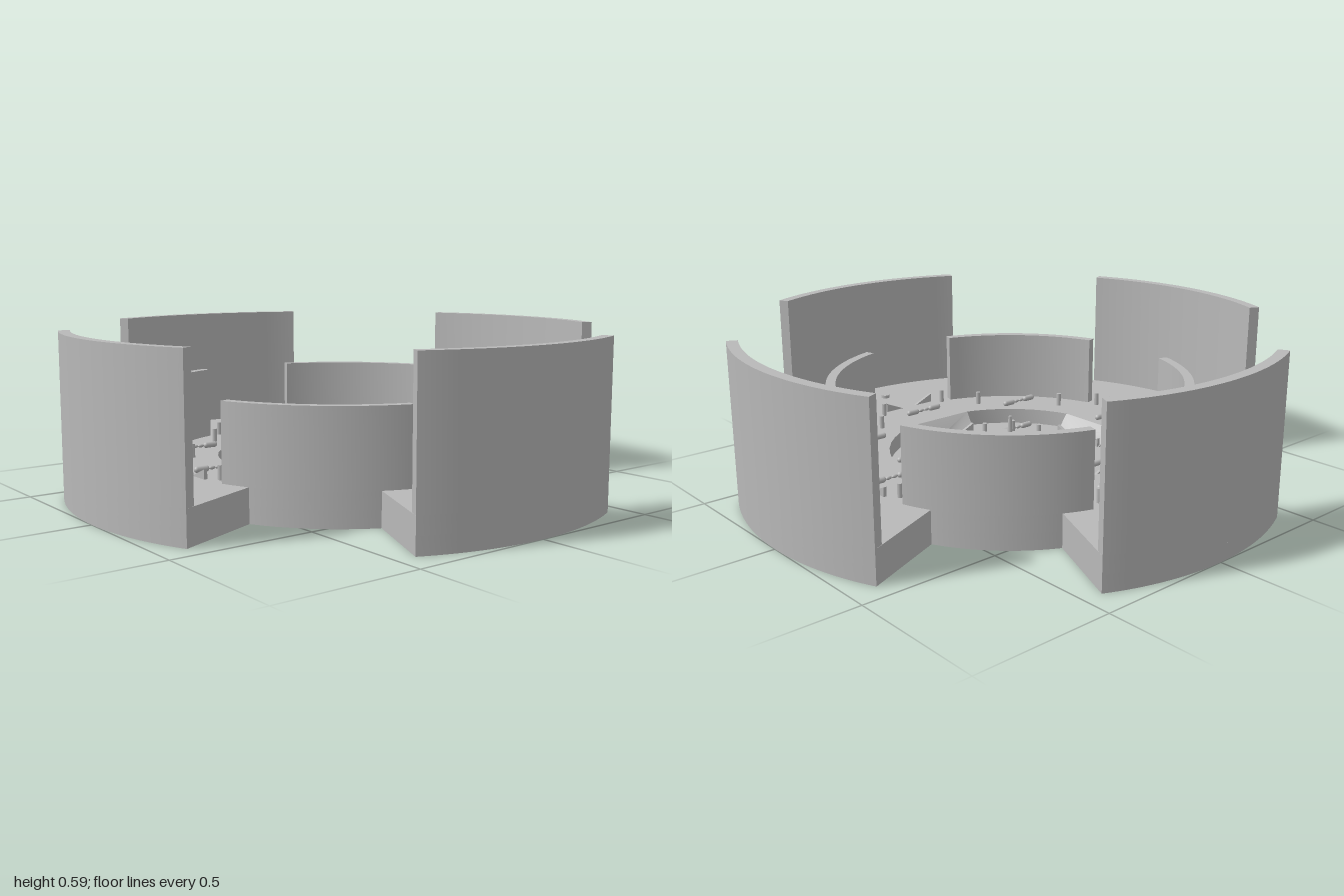
import * as THREE from 'three';
import { toCreasedNormals, mergeVertices } from 'three/addons/utils/BufferGeometryUtils.js';

const RAD = Math.PI / 180;
const FLOOR = 0.12, PIT = 0.06, TOP = 0.155; // main deck, sunken ring, central plinth

export function createModel() {
  const model = new THREE.Group();
  model.name = 'arena';
  const grey = new THREE.MeshStandardMaterial({ color: 0xb8b8b8 });
  grey.name = 'stoneGrey';

  function add(name, geometry, x = 0, y = 0, z = 0, turn = 0) {
    const mesh = new THREE.Mesh(geometry, grey);
    mesh.name = name;
    mesh.position.set(x, y, z);
    mesh.rotation.y = turn;
    model.add(mesh);
    return mesh;
  }

  // Extrude a plan shape upwards from y0 to y1
  function slab(shape, y0, y1, curveSegments = 16) {
    const g = new THREE.ExtrudeGeometry(shape, { depth: y1 - y0, bevelEnabled: false, curveSegments });
    g.rotateX(-Math.PI / 2).translate(0, y0, 0);
    return g;
  }
  const crease = (g) => toCreasedNormals(g, 30 * RAD);

  // Ring sector centred on +x, half angle in degrees
  function sector(r0, r1, half) {
    const s = new THREE.Shape();
    s.absarc(0, 0, r1, -half * RAD, half * RAD, false);
    s.absarc(0, 0, r0, half * RAD, -half * RAD, true);
    s.closePath();
    return s;
  }

  // Sector whose top slopes from height h0 at r0 to h1 at r1
  function ramp(r0, h0, r1, h1, half, base) {
    const g = slab(sector(r0, r1, half), base, base + 0.1, 8);
    const p = g.attributes.position;
    for (let i = 0; i < p.count; i++) {
      if (p.getY(i) < base + 0.05) continue;
      const t = (Math.hypot(p.getX(i), p.getZ(i)) - r0) / (r1 - r0);
      p.setY(i, h0 + (h1 - h0) * t);
    }
    return crease(g);
  }

  // Round deck with four flared arms
  function plan() {
    const s = new THREE.Shape();
    for (let k = 0; k < 4; k++) {
      const a = k * 90;
      s.absarc(0, 0, 1, (a - 25.5) * RAD, (a + 25.5) * RAD, false);
      s.absarc(0, 0, 0.67, (a + 26.6) * RAD, (a + 63.4) * RAD, false);
    }
    s.closePath();
    return s;
  }
  add('base', crease(slab(plan(), 0, PIT)));
  const deck = plan();
  const hole = new THREE.Path();
  hole.absarc(0, 0, 0.45, 0, Math.PI * 2, true);
  deck.holes.push(hole);
  add('deck', crease(slab(deck, PIT, FLOOR, 24)));

  // Stepped centre
  add('platform', new THREE.CylinderGeometry(0.195, 0.195, FLOOR - PIT, 48), 0, (FLOOR + PIT) / 2);
  add('plinth', new THREE.CylinderGeometry(0.065, 0.065, TOP - FLOOR, 32), 0, (TOP + FLOOR) / 2);
  add('centreSpike', new THREE.CylinderGeometry(0.006, 0.01, 0.08, 12), 0, TOP + 0.04);

  // Walls and ramps, four of each
  const outerWall = crease(slab(sector(0.96, 1, 25.5), FLOOR, 0.59, 24));
  const innerWall = crease(slab(sector(0.635, 0.67, 27.5), FLOOR, 0.39, 24));
  const pitRamp = ramp(0.375, PIT, 0.45, FLOOR, 18, PIT);
  const platformRamp = ramp(0.19, FLOOR, 0.285, PIT, 17.5, PIT);
  const plinthRamp = ramp(0.06, TOP, 0.1, FLOOR, 18, FLOOR);
  const disc = new THREE.CylinderGeometry(0.017, 0.017, 0.012, 20);
  const post = new THREE.CylinderGeometry(0.009, 0.009, 0.05, 12);

  // Upright triangular fin: tall at one end, tapering to a point
  const finShape = new THREE.Shape([
    new THREE.Vector2(0, 0), new THREE.Vector2(0.078, 0), new THREE.Vector2(0.078, 0.034),
  ]);
  const fin = new THREE.ExtrudeGeometry(finShape, { depth: 0.012, bevelEnabled: false });
  fin.translate(0.034, 0, -0.006);
  const finMirror = fin.clone().rotateY(Math.PI);

  for (let k = 0; k < 4; k++) {
    const a = k * Math.PI / 2, d = a + Math.PI / 4;
    add('outerWall', outerWall, 0, 0, 0, a);
    add('innerWall', innerWall, 0, 0, 0, d);
    add('pitRamp', pitRamp, 0, 0, 0, a);
    add('platformRamp', platformRamp, 0, 0, 0, d);
    add('plinthRamp', plinthRamp, 0, 0, 0, a);
    const c = Math.cos(a), s = Math.sin(a);
    add('armMarker', disc, 0.815 * c, FLOOR + 0.006, 0.815 * s);
    for (const g of [fin, finMirror]) {
      add('gateFin', g, 0.645 * s, FLOOR, 0.645 * c, a);
      add('rampFin', g, 0.36 * s, PIT, 0.36 * c, a);
    }
    // Posts around the deck and on the platform
    for (const [u, v] of [[0.61, 0.147], [0.61, -0.147], [0.485, 0.245], [0.485, -0.245], [0.147, 0], [0.104, 0.104]]) {
      add('post', post, u * c - v * s, FLOOR + 0.025, u * s + v * c);
    }
  }

  // Low barriers: two rounded blocks joined by small beads, all running along z
  const block = new THREE.CapsuleGeometry(0.011, 0.036, 4, 12).rotateX(Math.PI / 2);
  const bead = new THREE.SphereGeometry(0.008, 10, 8).scale(0.8, 0.8, 1.6);
  function barrier(x, y, z) {
    const g = new THREE.Group();
    g.name = 'barrier';
    for (const side of [-1, 1]) {
      for (const [name, geo, off] of [['barrierBlock', block, 0.054], ['barrierBead', bead, 0.0125]]) {
        const m = new THREE.Mesh(geo, grey);
        m.name = name;
        m.position.z = side * off;
        g.add(m);
      }
    }
    g.position.set(x, y + 0.01, z);
    model.add(g);
  }
  for (const i of [-1, 1]) {
    barrier(0, FLOOR, 0.54 * i);
    barrier(0.54 * i, FLOOR, 0);
    for (const j of [-1, 1]) {
      barrier(0.382 * i, FLOOR, 0.382 * j);
      barrier(0.254 * i, PIT, 0.254 * j);
    }
  }
  return model;
}
